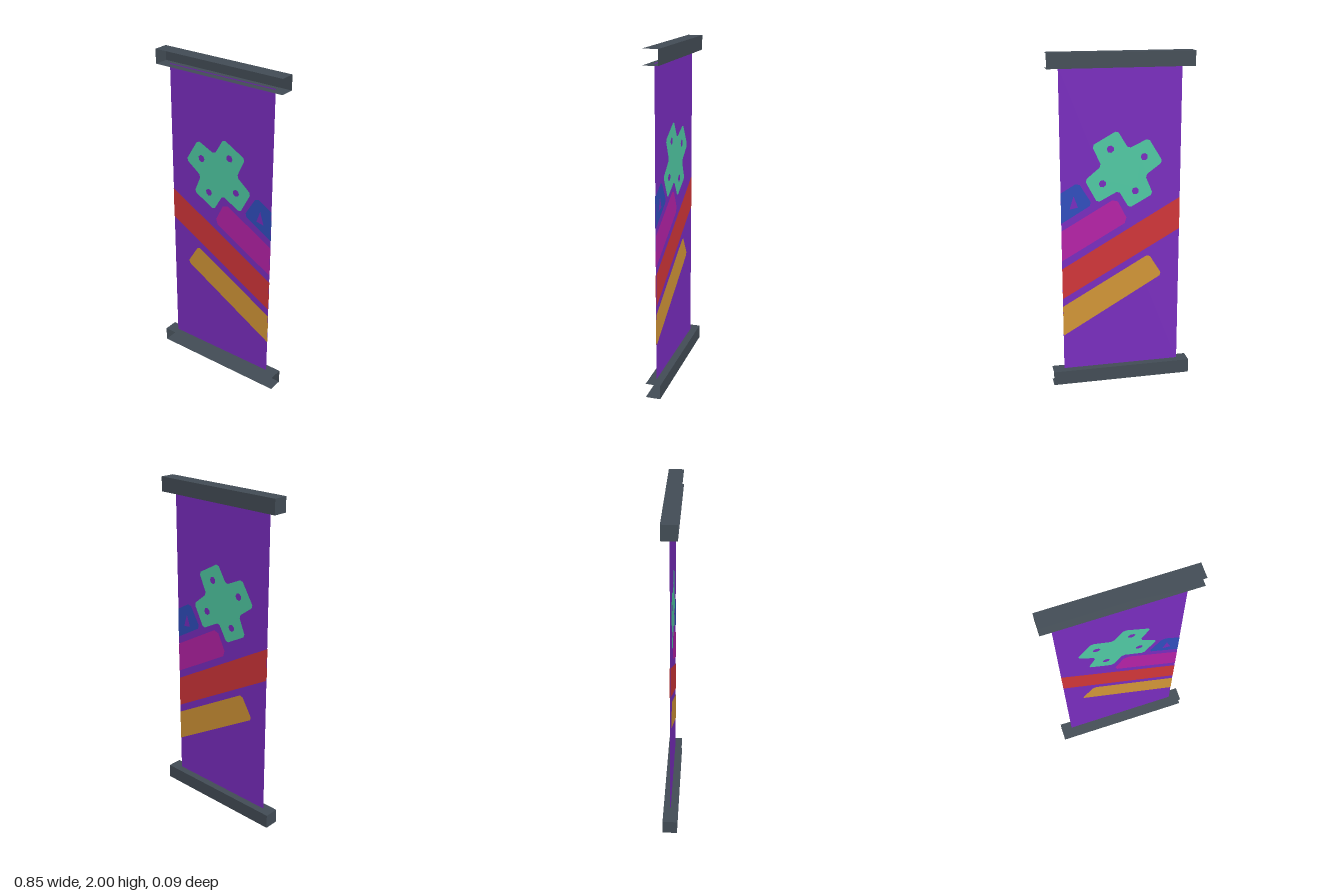
import * as THREE from 'three';

const mat = (name, color) => {
  const m = new THREE.MeshStandardMaterial({ color, side: THREE.DoubleSide });
  m.name = name;
  return m;
};

// Polygon with each corner cut slightly, unless it lies on the cloth edge
function softPolygon(points, cut) {
  const pts = points.map(([x, y]) => new THREE.Vector2(x, y));
  const out = [];
  pts.forEach((p, i) => {
    if (Math.abs(p.x) > 0.35) { out.push(p); return; }
    for (const step of [-1, 1]) {
      const q = pts[(i + step + pts.length) % pts.length];
      out.push(p.clone().lerp(q, cut / p.distanceTo(q)));
    }
  });
  return new THREE.Shape(out);
}

export function createModel() {
  const model = new THREE.Group();
  const frame = mat('slate', 0x434d56);
  const cloth = mat('purple', 0x7a2dc0);
  const green = mat('mint green', 0x50caa4);
  const blue = mat('blue', 0x304ebe);
  const magenta = mat('magenta', 0xb622a8);
  const red = mat('red', 0xd23639);
  const orange = mat('ochre', 0xd39637);

  // Thin rails, open at the front and at the left end
  const addRail = (name, y) => {
    const geo = new THREE.BoxGeometry(0.85, 0.086, 0.088);
    const index = Array.from(geo.index.array);
    geo.setIndex([...index.slice(6, 24), ...index.slice(30)]);
    geo.clearGroups();
    const rail = new THREE.Mesh(geo, frame);
    rail.name = name;
    rail.position.y = y;
    model.add(rail);
  };
  addRail('topRail', 1.957);
  addRail('bottomRail', 0.043);

  // Hanging cloth
  const banner = new THREE.Mesh(new THREE.PlaneGeometry(0.714, 1.85), cloth);
  banner.name = 'bannerCloth';
  banner.position.set(-0.002, 0.995, 0);
  model.add(banner);

  // Painted shapes, on both faces of the cloth
  const addPaint = (name, shape, material) => {
    const geo = new THREE.ShapeGeometry(shape);
    for (const side of [1, -1]) {
      const paint = new THREE.Mesh(geo, material);
      paint.name = name + (side > 0 ? 'Front' : 'Back');
      paint.position.z = side * 0.002;
      model.add(paint);
    }
  };

  // Cross with a small hole in each arm
  const cross = softPolygon([
    [-0.165, 1.502], [-0.045, 1.447], [0.02, 1.555], [0.17, 1.472],
    [0.114, 1.351], [0.213, 1.27], [0.14, 1.132], [0.013, 1.198],
    [-0.05, 1.09], [-0.194, 1.168], [-0.146, 1.282], [-0.252, 1.36],
  ], 0.014);
  for (const [x, y] of [[-0.14, 1.394], [0.061, 1.447], [0.109, 1.245], [-0.087, 1.192]]) {
    const hole = [];
    for (let i = 0; i < 7; i++) {
      const a = (i / 7) * Math.PI * 2;
      hole.push(new THREE.Vector2(x + 0.022 * Math.cos(a), y + 0.022 * Math.sin(a)));
    }
    cross.holes.push(new THREE.Path(hole));
  }
  addPaint('cross', cross, green);

  // Slanted stripes
  const patch = softPolygon([[0.252, 1.26], [0.355, 1.2], [0.355, 1.017], [0.17, 1.124]], 0.018);
  patch.holes.push(new THREE.Path([[0.255, 1.11], [0.305, 1.1], [0.28, 1.18]]
    .map(([x, y]) => new THREE.Vector2(x, y))));
  addPaint('bluePatch', patch, blue);
  addPaint('magentaStripe',
    softPolygon([[0.028, 1.155], [0.355, 0.97], [0.355, 0.785], [-0.045, 1.01]], 0.025), magenta);
  addPaint('redStripe',
    softPolygon([[-0.359, 1.14], [0.355, 0.735], [0.355, 0.545], [-0.359, 0.945]], 0), red);
  addPaint('ochreStripe',
    softPolygon([[-0.172, 0.793], [0.355, 0.495], [0.355, 0.305], [-0.255, 0.658]], 0.015), orange);

  return model;
}
